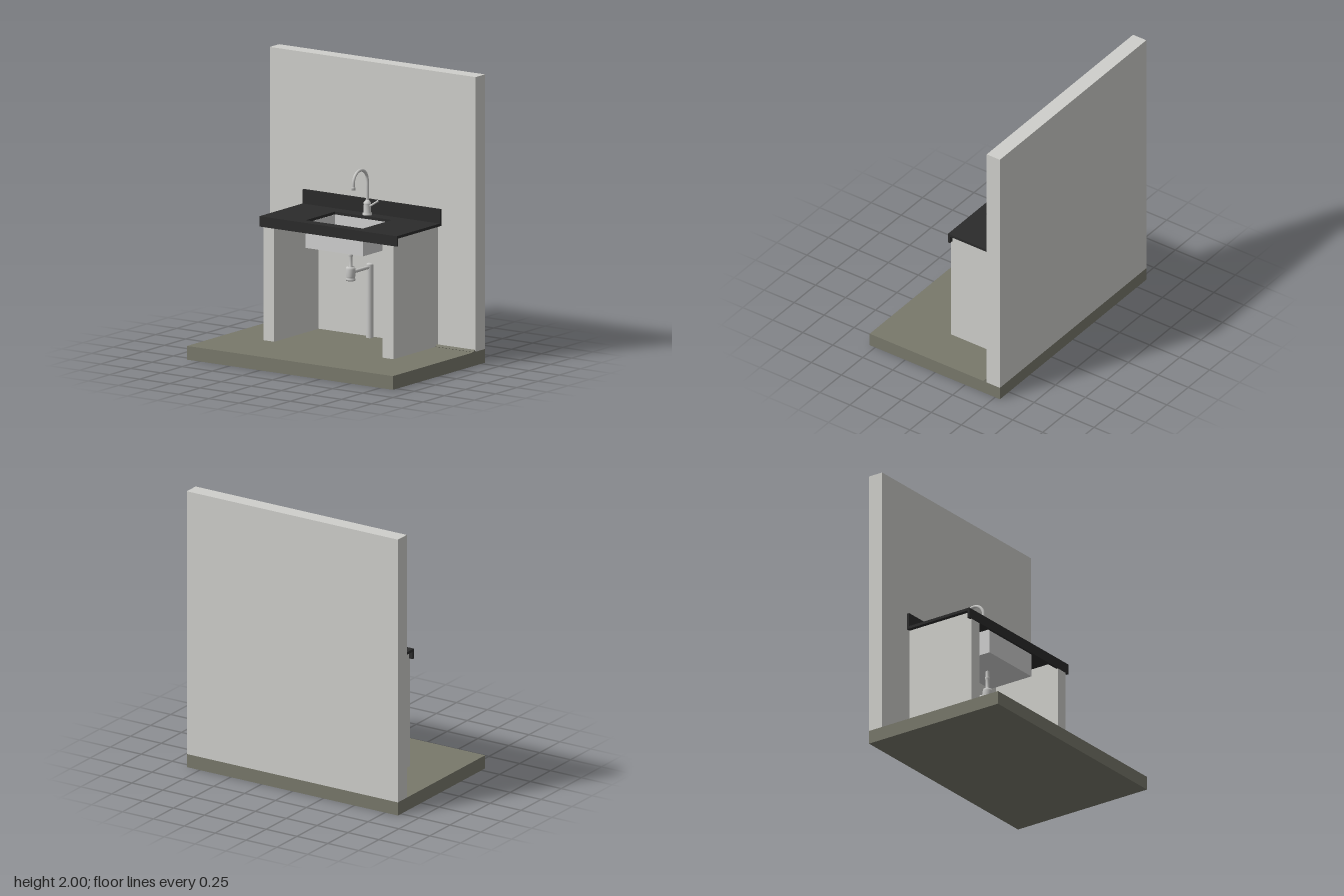
import * as THREE from 'three';

export function createModel() {
  const mat = (name, color) => {
    const m = new THREE.MeshStandardMaterial({ color });
    m.name = name;
    return m;
  };
  const plaster = mat('plaster', 0xcfcfcb);
  const concrete = mat('floor concrete', 0x78786b);
  const stone = mat('black stone', 0x2b2b2b);
  const steel = mat('basin steel', 0xd0d0d0);
  const metal = mat('polished metal', 0xc8c8c6);

  const model = new THREE.Group();
  model.name = 'sinkUnit';

  const add = (name, geo, material, parent = model) => {
    const mesh = new THREE.Mesh(geo, material);
    mesh.name = name;
    parent.add(mesh);
    return mesh;
  };
  // Box given by its minimum and maximum corners
  const box = (name, material, [x0, y0, z0], [x1, y1, z1], parent) => {
    const geo = new THREE.BoxGeometry(x1 - x0, y1 - y0, z1 - z0);
    geo.translate((x0 + x1) / 2, (y0 + y1) / 2, (z0 + z1) / 2);
    return add(name, geo, material, parent);
  };
  // Horizontal rectangle with a rectangular hole, raised from y0 to y1
  const frame = (name, material, outer, hole, y0, y1, parent) => {
    const rect = (P, [x0, z0, x1, z1]) => {
      const p = new P();
      p.moveTo(x0, -z0).lineTo(x0, -z1).lineTo(x1, -z1).lineTo(x1, -z0).closePath();
      return p;
    };
    const shape = rect(THREE.Shape, outer);
    shape.holes.push(rect(THREE.Path, hole));
    const geo = new THREE.ExtrudeGeometry(shape, { depth: y1 - y0, bevelEnabled: false });
    geo.rotateX(-Math.PI / 2).translate(0, y0, 0);
    return add(name, geo, material, parent);
  };
  // Upright turned part; profile points are [radius, height], bottom to top
  const turned = (name, profile, z, parent) => {
    const geo = new THREE.LatheGeometry(profile.map(([r, y]) => new THREE.Vector2(r, y)), 24);
    geo.translate(0, 0, z);
    return add(name, geo.toNonIndexed(), metal, parent);
  };
  const vec = (x, y, z) => new THREE.Vector3(x, y, z);

  // Floor slab and back wall
  box('floor', concrete, [-0.855, 0, -0.54], [0.855, 0.095, 0.545]);
  box('wall', plaster, [-0.855, 0.095, -0.54], [0.855, 2, -0.43]);

  // Side panels carrying the worktop
  for (const s of [-1, 1]) {
    const x = s * 0.495;
    box(s > 0 ? 'leftPanel' : 'rightPanel', plaster, [x - 0.045, 0.095, -0.43], [x + 0.045, 0.935, 0.092]);
  }

  // Worktop with sink cutout, front apron and backsplash
  const counter = new THREE.Group();
  counter.name = 'counter';
  model.add(counter);
  frame('worktop', stone, [-0.57, -0.43, 0.57, 0.095], [-0.237, -0.32, 0.237, 0.02], 0.933, 0.952, counter);
  box('apron', stone, [-0.57, 0.88, 0.079], [0.57, 0.934, 0.095], counter);
  box('backsplash', stone, [-0.57, 0.951, -0.43], [0.57, 1.05, -0.412], counter);

  // Basin
  const basin = new THREE.Group();
  basin.name = 'basin';
  model.add(basin);
  frame('basinWalls', steel, [-0.24, -0.323, 0.24, 0.023], [-0.235, -0.318, 0.235, 0.018], 0.76, 0.933, basin);
  box('basinBottom', steel, [-0.236, 0.76, -0.319], [0.236, 0.766, 0.019], basin);
  const drainZ = -0.16;
  add('drain', new THREE.CylinderGeometry(0.045, 0.045, 0.004, 24), metal, basin).position.set(0, 0.768, drainZ);

  // Bottle trap, outlet and waste pipe
  const waste = new THREE.Group();
  waste.name = 'waste';
  model.add(waste);
  turned('trap', [
    [0, 0.53], [0.033, 0.53], [0.033, 0.543], [0.028, 0.543], [0.028, 0.555], [0.033, 0.56],
    [0.033, 0.61], [0.029, 0.625], [0.012, 0.625], [0.012, 0.695], [0.016, 0.7],
    [0.016, 0.715], [0.012, 0.72], [0.012, 0.762],
  ], drainZ - 0.01, waste);
  const outlet = new THREE.CylinderGeometry(0.012, 0.012, 0.21, 16);
  outlet.rotateX(Math.PI / 2).translate(0, 0.585, -0.275);
  add('outlet', outlet, metal, waste);
  turned('wastePipe', [[0.025, 0.095], [0.025, 0.6], [0.02, 0.61], [0, 0.61]], -0.395, waste);

  // Four-sided supply pipe along the floor edge and up the wall
  const supply = (name, length) =>
    add(name, new THREE.CylinderGeometry(0.014, 0.014, length, 4, 1).toNonIndexed(), concrete);
  const riser = supply('supplyRiser', 0.73);
  riser.geometry.computeVertexNormals();
  riser.position.set(0.17, 0.46, -0.416);
  const run = supply('supplyRun', 0.685);
  run.geometry.computeVertexNormals();
  run.rotation.z = Math.PI / 2;
  run.position.set(0.5125, 0.097, -0.416);

  // Faucet: body, swan neck, nozzle and lever
  const faucet = new THREE.Group();
  faucet.name = 'faucet';
  model.add(faucet);
  const fz = -0.366;
  turned('faucetBody', [
    [0.033, 0.952], [0.033, 0.963], [0.027, 0.968], [0.024, 1.025], [0.026, 1.027],
    [0.026, 1.036], [0.018, 1.045], [0.012, 1.055], [0, 1.055],
  ], fz, faucet);
  const R = 0.082, arcY = 1.192;
  const neck = [vec(0, 1.04, fz), vec(0, 1.1, fz), vec(0, 1.15, fz)];
  for (let i = 0; i <= 10; i++) {
    const a = Math.PI * i / 10;
    neck.push(vec(0, arcY + R * Math.sin(a), fz + R - R * Math.cos(a)));
  }
  neck.push(vec(0, 1.16, fz + 2 * R));
  add('neck', new THREE.TubeGeometry(new THREE.CatmullRomCurve3(neck), 60, 0.0105, 14), metal, faucet);
  turned('nozzle', [[0, 1.15], [0.013, 1.15], [0.013, 1.17], [0.0105, 1.174]], fz + 2 * R, faucet);
  const lever = new THREE.LineCurve3(vec(0.015, 1.01, fz), vec(0.085, 1.055, fz));
  add('lever', new THREE.TubeGeometry(lever, 1, 0.007, 12), metal, faucet);
  add('leverTip', new THREE.SphereGeometry(0.008, 12, 8), metal, faucet).position.set(0.085, 1.055, fz);

  return model;
}
